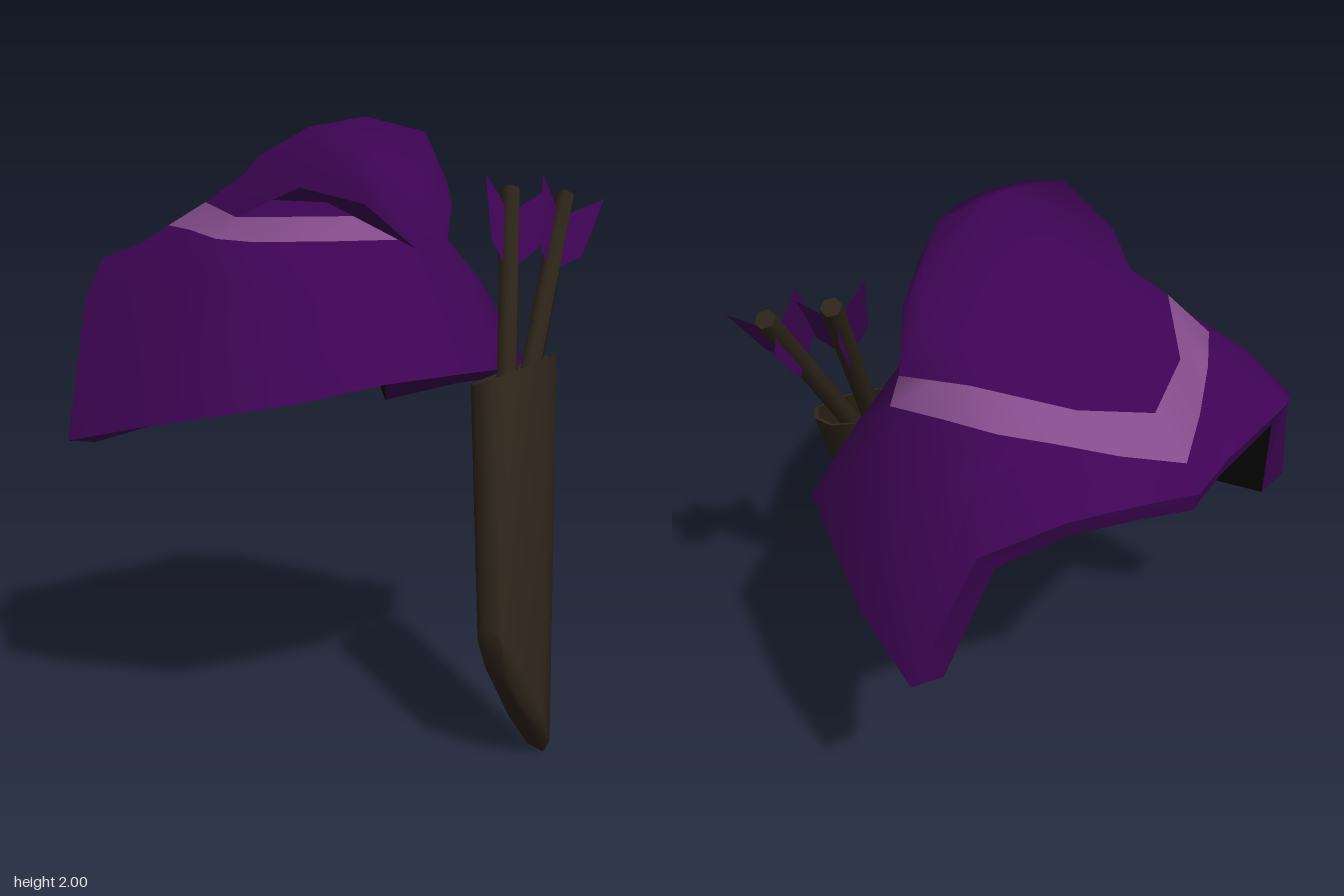
import * as THREE from 'three';
import { toCreasedNormals } from 'three/addons/utils/BufferGeometryUtils.js';

const mat = (name, color) =>
  Object.assign(new THREE.MeshStandardMaterial({ color, side: THREE.DoubleSide }), { name });

// Surface through equal-length rows of points; closed rows wrap around
function loft(rows, closed, crease = 0.7) {
  const n = rows[0].length, pos = [];
  const tri = (...p) => {
    const [a, b, c] = p.map(q => new THREE.Vector3(...q));
    if (b.clone().sub(a).cross(c.clone().sub(a)).length() > 1e-7) pos.push(...p.flat());
  };
  for (let r = 0; r < rows.length - 1; r++) {
    for (let i = 0; i < (closed ? n : n - 1); i++) {
      const j = (i + 1) % n, a = rows[r][i], b = rows[r][j], c = rows[r + 1][j], d = rows[r + 1][i];
      tri(a, b, c);
      tri(a, c, d);
    }
  }
  const g = new THREE.BufferGeometry();
  g.setAttribute('position', new THREE.Float32BufferAttribute(pos, 3));
  return toCreasedNormals(g, crease);
}

const flip = ([x, y, z]) => [-x, y, z];
// Half ring (front centre to back centre) mirrored into a full ring
const ring = half => [...half, ...half.slice(1, -1).reverse().map(flip)];

export function createModel() {
  const model = new THREE.Group();
  const purple = mat('purple cloth', 0x3e0454);
  const lilac = mat('lilac trim', 0x834b8a);
  const brown = mat('brown leather', 0x2d2419);
  const black = mat('black lining', 0x050505);
  const add = (name, geometry, material, parent = model) => {
    const m = new THREE.Mesh(geometry, material);
    m.name = name;
    parent.add(m);
    return m;
  };

  // Cape: hem, shoulder, and the two edges of the trim
  const hem = [[0, 1.16, 0.43], [0.3, 1.15, 0.38], [0.62, 1.1, 0.25], [0.8, 1.0, -0.25], [0.85, 0.93, -0.56],
    [0.68, 1.4, -0.67], [0.48, 1.52, -0.83], [0.18, 1.45, -0.85], [0, 1.43, -0.9]];
  const shoulder = [[0, 1.4, 0.28], [0.32, 1.4, 0.23], [0.54, 1.43, 0.08], [0.63, 1.5, -0.15], [0.64, 1.51, -0.38],
    [0.59, 1.54, -0.55], [0.42, 1.57, -0.7], [0.18, 1.5, -0.79], [0, 1.47, -0.87]];
  const trimLow = [[0, 1.595, 0.16], [0.3, 1.595, 0.1], [0.48, 1.595, -0.05], [0.56, 1.605, -0.13], [0.51, 1.63, -0.32],
    [0.45, 1.64, -0.5], [0.33, 1.61, -0.61], [0.17, 1.555, -0.73], [0, 1.51, -0.84]];
  const trimHigh = [[0, 1.675, 0.1], [0.3, 1.675, 0.05], [0.43, 1.675, -0.04], [0.5, 1.675, -0.1], [0.46, 1.698, -0.22],
    [0.42, 1.72, -0.34], [0.32, 1.695, -0.465], [0.22, 1.67, -0.59], [0, 1.62, -0.7]];
  add('cape', loft([hem, shoulder, trimLow].map(ring), true, 1), purple);
  add('trimBand', loft([trimLow, trimHigh].map(ring), true, 1), lilac);

  // Turned-under hem and back rim
  const arch = [0, 1, 2, 3, 4].map(k => [0.73 * k / 4, 1.19 - 0.28 * k / 4, 0.1 - 0.67 * k / 4]);
  const rim = [[0.61, 1.33, -0.67], [0.44, 1.44, -0.8], [0.17, 1.38, -0.83], [0, 1.36, -0.88]];
  add('hemUnderside', loft([hem, [...arch, ...rim]].map(ring), true, 0.4), purple);

  // Dark lining between the front arch and the back rim
  const back = [...rim.slice().reverse(), arch[4]];
  const across = half => [...half.slice(1).reverse().map(flip), ...half];
  add('lining', loft([across(arch), across(back)], false, 1.2), black);

  // Hood: lower edge with drooping front lip, crown and peak
  const lip = [[-0.34, 1.585, 0.54], [-0.4, 1.72, 0.38], [-0.455, 1.77, 0.15], [-0.5, 1.675, -0.1], [-0.42, 1.72, -0.34],
    [-0.22, 1.67, -0.59], [0, 1.62, -0.7], [0.22, 1.67, -0.59], [0.42, 1.72, -0.34], [0.5, 1.675, -0.1],
    [0.33, 1.77, 0.09], [0.12, 1.79, 0.27], [-0.02, 1.72, 0.41], [-0.22, 1.58, 0.56]];
  const crown = [[-0.31, 1.83, 0.46], [-0.385, 1.9, 0.32], [-0.4, 1.96, 0.14], [-0.4, 1.87, -0.1], [-0.33, 1.81, -0.25],
    [-0.2, 1.775, -0.36], [0, 1.78, -0.34], [0.2, 1.765, -0.38], [0.33, 1.78, -0.25], [0.37, 1.79, -0.05],
    [0.24, 1.87, 0.09], [0.1, 1.955, 0.19], [-0.03, 1.9, 0.3], [-0.18, 1.83, 0.44]];
  add('hood', loft([lip, crown, lip.map(() => [-0.14, 2, 0.14])], true, 1.4), purple);

  // Collar rising from the trim, then the underside of the lip
  const front = [9, 10, 11, 12, 13, 0, 1, 2, 3].map(i => lip[i]);
  const neck = [[0.5, 1.675, -0.1], [0.43, 1.675, -0.04], [0.3, 1.675, 0.05], [0.15, 1.675, 0.075], [0, 1.675, 0.1],
    [-0.15, 1.675, 0.075], [-0.3, 1.675, 0.05], [-0.43, 1.675, -0.04], [-0.5, 1.675, -0.1]];
  const collar = neck.map(([x, y, z], i) => {
    const rise = Math.sin(i / 8 * Math.PI);
    return [x * (1 - 0.05 * rise), y + 0.09 * Math.sqrt(Math.max(rise, 0)), z - 0.03 * rise];
  });
  add('hoodUnderside', loft([front, collar, neck], false, 0.6), purple);

  // Quiver: flattened, squared-off rings from mouth to slanted foot
  const square = v => Math.sign(v) * Math.abs(v) ** 0.8;
  const oval = (c, w, t, s = 1) => Array.from({ length: 10 }, (_, i) => {
    const a = i / 10 * Math.PI * 2, u = square(Math.cos(a)) * s, v = square(Math.sin(a)) * s;
    return c.map((p, k) => p + w[k] * u + t[k] * v);
  });
  const mouth = [0.225, 1.165, 0.485], mouthW = [0.205, 0.035, 0], mouthT = [0, 0.02, 0.072];
  const foot = [-0.187, 0.213, 0.82], footW = [0.095, -0.21, 0.045], footT = [0, 0.02, 0.067];
  const sole = [-0.22, 0.205, 0.84], well = [0.095, 0.865, 0.585];
  const point = p => Array(10).fill(p);
  add('quiver', loft([oval(mouth, mouthW, mouthT), oval(foot, footW, footT),
    oval(sole, footW, footT, 0.35), point(sole)], true, 1.05), brown);
  add('quiverMouth', loft([oval(mouth, mouthW, mouthT), oval(mouth, mouthW, mouthT, 0.92),
    oval(well, mouthW, mouthT, 0.85), point(well)], true, 0.5), brown);

  // Arrows: six-sided shaft with three swept vanes
  const vane = new THREE.ShapeGeometry(new THREE.Shape(
    [[0.02, -0.31], [0.1, -0.24], [0.14, 0], [0.02, -0.08]].map(p => new THREE.Vector2(...p))));
  const arrow = (name, end, start) => {
    const a = new THREE.Vector3(...start), b = new THREE.Vector3(...end);
    const g = new THREE.Group(), len = a.distanceTo(b);
    g.name = name;
    g.position.copy(b);
    g.quaternion.setFromUnitVectors(new THREE.Vector3(0, 1, 0), b.clone().sub(a).normalize());
    const shaft = new THREE.CylinderGeometry(0.037, 0.037, len, 6).translate(0, -len / 2, 0);
    add('shaft', toCreasedNormals(shaft, 1.1), brown, g);
    for (const angle of [60, 180, 300]) {
      add('vane', vane, purple, g).rotation.y = THREE.MathUtils.degToRad(angle);
    }
    model.add(g);
  };
  arrow('innerArrow', [0.49, 1.76, 0.25], [0.1, 0.92, 0.55]);
  arrow('outerArrow', [0.67, 1.74, 0.355], [0.14, 0.92, 0.56]);
  return model;
}
